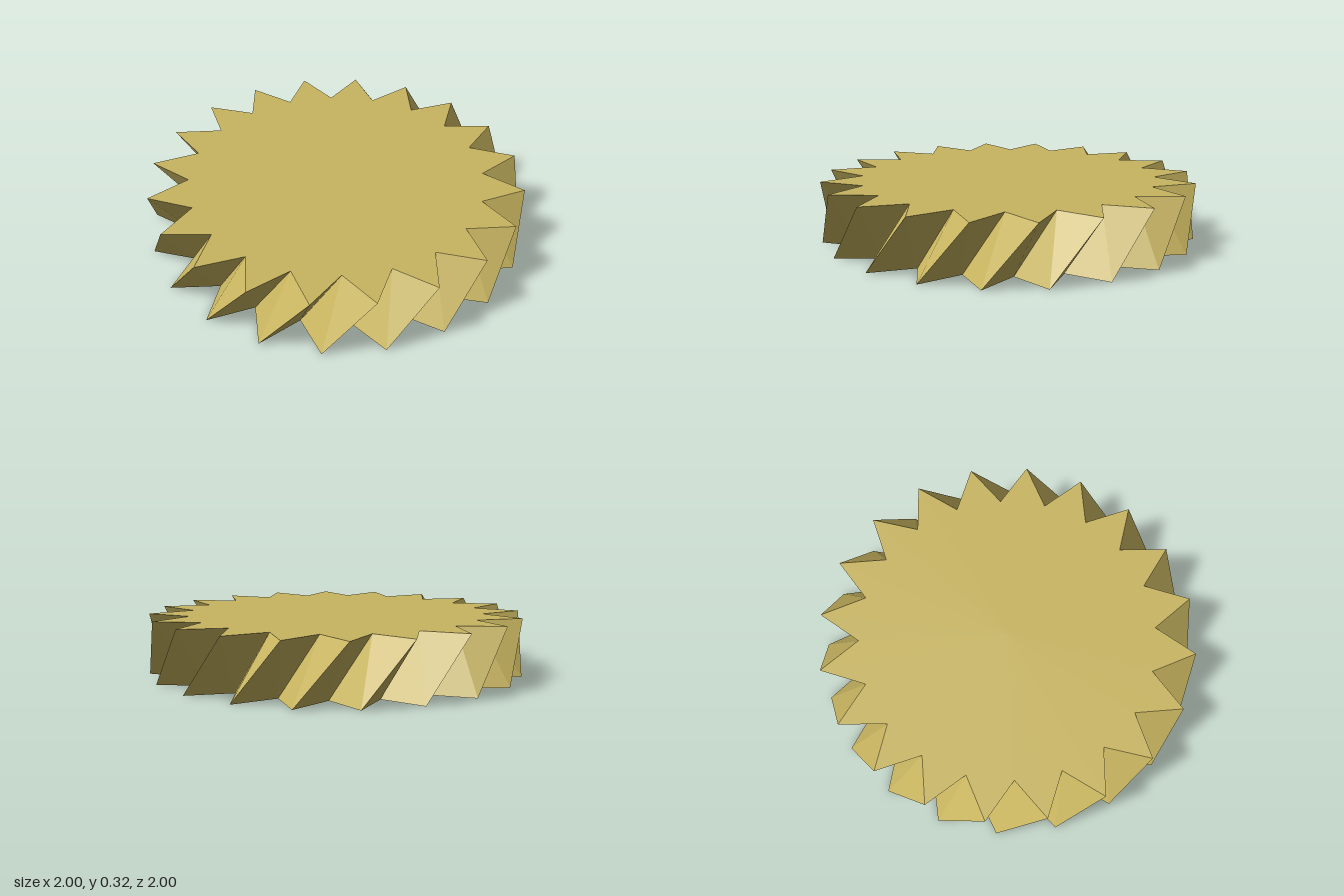
import * as THREE from 'three';

const TEETH = 20;
const TIP = 1, ROOT = 0.787, HEIGHT = 0.317;
const TWIST = THREE.MathUtils.degToRad(15);

// Star outline of pointed teeth, counter-clockwise seen from above
function ring(y, turn) {
  return Array.from({ length: TEETH * 2 }, (_, i) => {
    const a = (i * Math.PI) / TEETH + turn;
    const r = i % 2 ? ROOT : TIP;
    return [r * Math.sin(a), y, r * Math.cos(a)];
  });
}

function facets(triangles) {
  const geometry = new THREE.BufferGeometry();
  geometry.setAttribute('position', new THREE.Float32BufferAttribute(triangles.flat(2), 3));
  geometry.computeVertexNormals();
  return geometry;
}

export function createModel() {
  const brass = new THREE.MeshStandardMaterial({ color: 0xc8b560 });
  brass.name = 'brass';
  const bottom = ring(0, 0), top = ring(HEIGHT, TWIST);
  const flanks = [], upper = [], lower = [];

  bottom.forEach((b0, i) => {
    const j = (i + 1) % bottom.length;
    const b1 = bottom[j], t0 = top[i], t1 = top[j];
    flanks.push([b0, b1, t0], [b1, t1, t0]);
    upper.push([[0, HEIGHT, 0], t0, t1]);
    lower.push([[0, 0, 0], b1, b0]);
  });

  // Slanted teeth closed by two flat star-shaped faces
  const gear = new THREE.Group();
  gear.name = 'helicalGear';
  const parts = { teethFlanks: flanks, topFace: upper, bottomFace: lower };
  for (const [name, triangles] of Object.entries(parts)) {
    const mesh = new THREE.Mesh(facets(triangles), brass);
    mesh.name = name;
    gear.add(mesh);
  }
  return gear;
}
